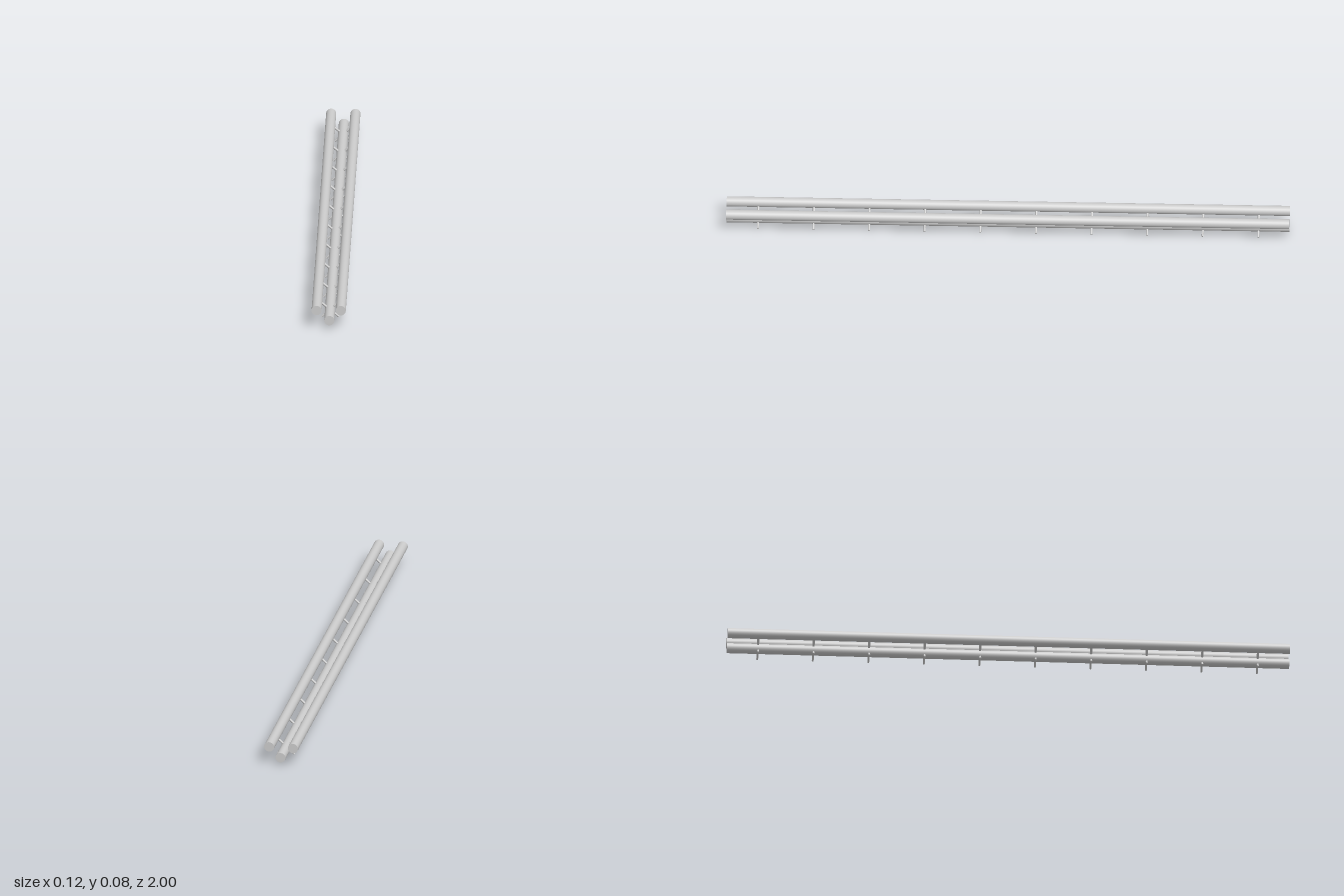
import * as THREE from 'three';

export function createModel() {
  const group = new THREE.Group();
  const material = new THREE.MeshStandardMaterial({ color: 0xcccccc });

  // Three long parallel logs: two upper ones and one lying in the cradle
  const logGeometry = new THREE.CylinderGeometry(0.018, 0.018, 2, 24).rotateX(Math.PI / 2);
  const logs = { rightLog: [-0.044, 0.067], leftLog: [0.042, 0.067], centerLog: [0.001, 0.029] };
  for (const [name, [x, y]] of Object.entries(logs)) {
    const log = new THREE.Mesh(logGeometry, material);
    log.name = name;
    log.position.set(x, y, 0);
    group.add(log);
  }

  // A slim round stake between two points, a little thinner at its foot
  function addStake(name, top, foot) {
    const axis = top.clone().sub(foot);
    const stake = new THREE.Mesh(new THREE.CylinderGeometry(0.0045, 0.0035, axis.length(), 10), material);
    stake.name = name;
    stake.position.copy(top).add(foot).multiplyScalar(0.5);
    stake.quaternion.setFromUnitVectors(new THREE.Vector3(0, 1, 0), axis.normalize());
    group.add(stake);
  }

  // Ten crossed pairs, each running from an upper log through the centre log to the ground
  for (let i = 0; i < 10; i++) {
    const z = -0.89 + i * 0.1975;
    addStake('rightStake', new THREE.Vector3(-0.044, 0.067, z), new THREE.Vector3(0.033, 0.0027, z));
    addStake('leftStake', new THREE.Vector3(0.042, 0.067, z), new THREE.Vector3(-0.028, 0.0027, z));
  }
  return group;
}
